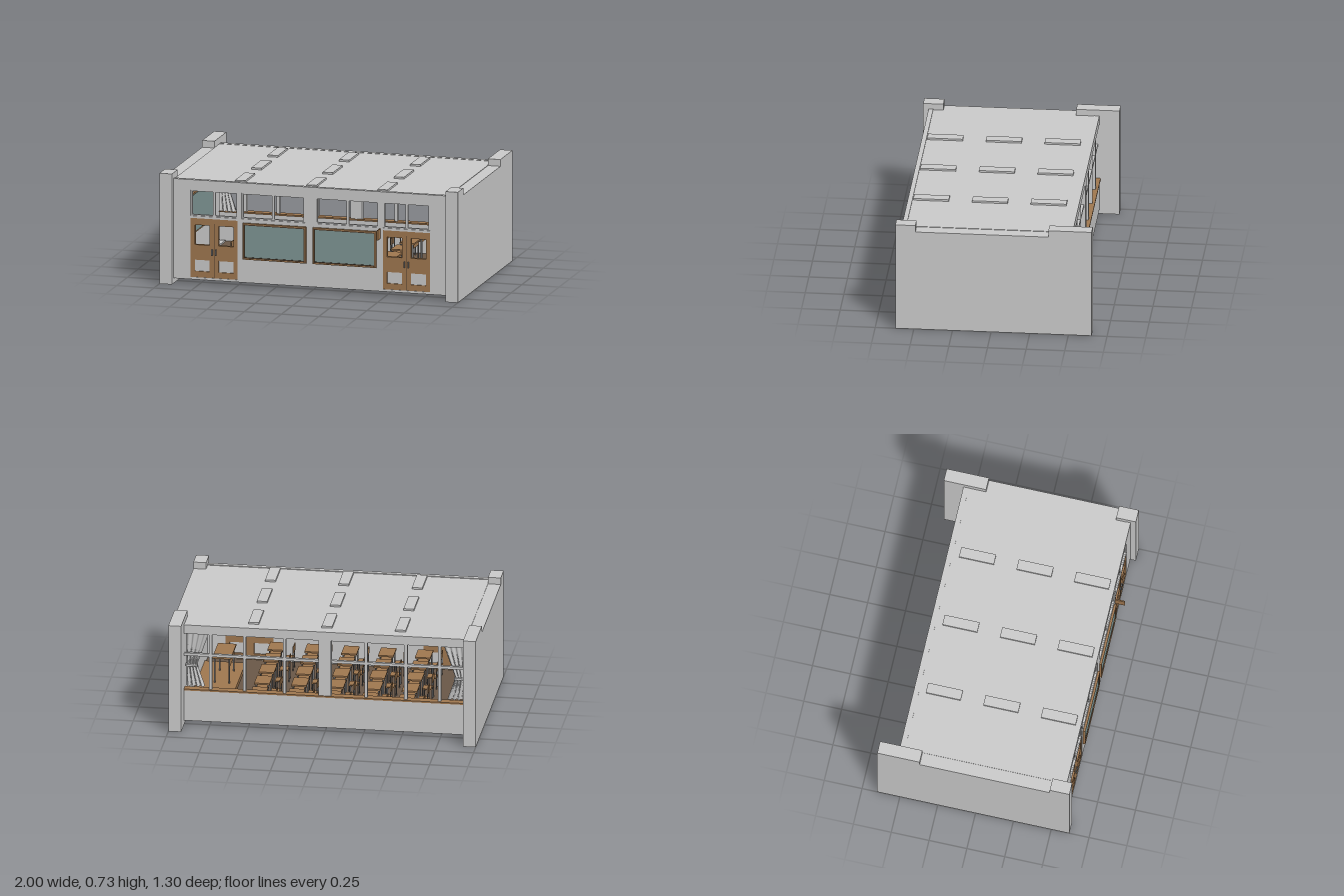
import * as THREE from 'three';

const mat = (color, side = THREE.FrontSide) => new THREE.MeshStandardMaterial({ color, side });
const GREY = mat(0xcccccc), WOOD = mat(0xa07850), DARK = mat(0x4a3a2c), BOARD = mat(0x7f9795),
  FLOOR = mat(0x6a5848), METAL = mat(0x777777), CLOTH = mat(0xcccccc, THREE.DoubleSide);

// box given by its limits on each axis
function box(parent, name, m, x0, x1, y0, y1, z0, z1) {
  const mesh = new THREE.Mesh(new THREE.BoxGeometry(x1 - x0, y1 - y0, z1 - z0), m);
  mesh.position.set((x0 + x1) / 2, (y0 + y1) / 2, (z0 + z1) / 2);
  mesh.name = name;
  parent.add(mesh);
  return mesh;
}

// flat panel in the xy plane with rectangular holes [x0, x1, y0, y1]
function panel(parent, name, m, [x0, x1, y0, y1], holes, z0, z1) {
  const trace = (p, [a, b, c, d]) => p.moveTo(a, c).lineTo(b, c).lineTo(b, d).lineTo(a, d).closePath();
  const shape = trace(new THREE.Shape(), [x0, x1, y0, y1]);
  for (const h of holes) shape.holes.push(trace(new THREE.Path(), h));
  const mesh = new THREE.Mesh(new THREE.ExtrudeGeometry(shape, { depth: z1 - z0, bevelEnabled: false }), m);
  mesh.position.z = z0;
  mesh.name = name;
  parent.add(mesh);
  return mesh;
}

function group(parent, name) {
  const g = new THREE.Group();
  g.name = name;
  parent.add(g);
  return g;
}

// end wall with raised front and back pillars
function endWall(parent, s) {
  const p = [[-0.62, 0], [0.65, 0], [0.65, 0.73], [0.37, 0.73], [0.37, 0.685], [-0.49, 0.685], [-0.49, 0.73], [-0.62, 0.73]];
  const shape = new THREE.Shape(p.map(([a, b]) => new THREE.Vector2(a, b)));
  const mesh = new THREE.Mesh(new THREE.ExtrudeGeometry(shape, { depth: 0.083, bevelEnabled: false }), GREY);
  mesh.rotation.y = Math.PI / 2;
  mesh.position.x = s > 0 ? 0.917 : -1;
  mesh.name = 'endWall';
  parent.add(mesh);
}

// double door centred on cx
function doubleDoor(parent, cx) {
  const g = group(parent, 'doubleDoor');
  g.position.x = cx;
  const holes = [];
  for (const s of [-1, 1]) {
    const a = s > 0 ? 0.03 : -0.13;
    holes.push([a, a + 0.1, 0.265, 0.395], [a, a + 0.1, 0.09, 0.165]);
    box(g, 'doorVent', GREY, a, a + 0.1, 0.09, 0.165, 0.566, 0.574);
    box(g, 'doorHandle', METAL, s * 0.013 - 0.004, s * 0.013 + 0.004, 0.2, 0.24, 0.582, 0.592);
  }
  panel(g, 'doorLeaves', WOOD, [-0.157, 0.157, 0.05, 0.44], holes, 0.558, 0.582);
  box(g, 'doorSeam', DARK, -0.0015, 0.0015, 0.05, 0.41, 0.575, 0.583);
}

// student desk facing +x, with its chair behind
function deskAndChair(parent, x, z) {
  const g = group(parent, 'studentDesk');
  g.position.set(x, 0, z);
  box(g, 'deskTop', WOOD, -0.05, 0.05, 0.193, 0.203, -0.07, 0.07);
  box(g, 'deskShelf', WOOD, -0.04, 0.04, 0.165, 0.17, -0.06, 0.06);
  box(g, 'deskFront', WOOD, 0.036, 0.042, 0.165, 0.193, -0.06, 0.06);
  box(g, 'chairSeat', WOOD, -0.115, -0.05, 0.125, 0.132, -0.035, 0.035);
  box(g, 'chairBack', WOOD, -0.118, -0.112, 0.175, 0.22, -0.035, 0.035);
  for (const s of [-1, 1]) {
    for (const lx of [-0.04, 0.038])
      box(g, 'deskLeg', METAL, lx - 0.004, lx + 0.004, 0.037, 0.193, s * 0.06 - 0.004, s * 0.06 + 0.004);
    for (const [lx, top] of [[-0.112, 0.215], [-0.055, 0.125]])
      box(g, 'chairLeg', METAL, lx - 0.003, lx + 0.003, 0.037, top, s * 0.03 - 0.003, s * 0.03 + 0.003);
  }
}

// pleated curtain gathered at its middle by a tie
function curtain(parent, s) {
  const geo = new THREE.PlaneGeometry(1, 1, 16, 10), p = geo.attributes.position;
  for (let i = 0; i < p.count; i++) {
    const u = p.getX(i) + 0.5, v = p.getY(i) + 0.5;
    const width = 0.07 + 0.08 * Math.min(1, Math.abs(v - 0.38) / 0.6);
    p.setXYZ(i, s * (0.91 - u * width), 0.25 + v * 0.385, -0.465 + 0.012 * Math.cos(u * 8 * Math.PI));
  }
  geo.computeVertexNormals();
  const mesh = new THREE.Mesh(geo, CLOTH);
  mesh.name = 'curtain';
  parent.add(mesh);
  const [a, b] = [s * 0.913, s * 0.835].sort((m, n) => m - n);
  box(parent, 'curtainTie', CLOTH, a, b, 0.39, 0.402, -0.482, -0.448);
}

export function createModel() {
  const root = new THREE.Group();
  root.name = 'classroom';

  // shell
  for (const s of [-1, 1]) endWall(root, s);
  box(root, 'floor', FLOOR, -0.917, 0.917, 0.043, 0.05, -0.5, 0.56);
  box(root, 'roof', GREY, -0.917, 0.917, 0.65, 0.688, -0.52, 0.56);
  box(root, 'floorEdgeStrip', GREY, -0.917, -0.87, 0.035, 0.06, -0.46, 0.55);
  for (const x of [-0.48, -0.002, 0.475])
    for (const z of [-0.325, 0.055, 0.435]) {
      box(root, 'roofLightHousing', GREY, x - 0.034, x + 0.034, 0.68, 0.7, z - 0.115, z + 0.115);
      box(root, 'ceilingLight', GREY, x - 0.03, x + 0.03, 0.64, 0.651, z - 0.105, z + 0.105);
    }

  // corridor wall with door and window openings
  const openings = [[-0.46, -0.035, 0.455, 0.625], [0.035, 0.46, 0.455, 0.625]];
  for (const [a, b] of [[-0.802, -0.487], [0.487, 0.802]]) openings.push([a, b, 0.455, 0.625], [a, b, 0.05, 0.44]);
  panel(root, 'frontWall', GREY, [-0.917, 0.917, 0.035, 0.693], openings, 0.555, 0.585);
  for (const s of [-1, 1]) {
    doubleDoor(root, s * 0.6445);
    for (const x of [0.25, 0.645])
      box(root, 'frontMullion', GREY, s * x - 0.008, s * x + 0.008, 0.455, 0.625, 0.562, 0.578);
  }
  for (const [a, b] of [[-0.802, -0.487], [-0.46, -0.035], [0.035, 0.46], [0.487, 0.802]])
    panel(root, 'frontWindowFrame', GREY, [a, b, 0.455, 0.625], [[a + 0.01, b - 0.01, 0.463, 0.617]], 0.562, 0.578);

  // notice boards and door sign
  for (const x of [-0.45, 0.02]) {
    panel(root, 'noticeBoardFrame', WOOD, [x, x + 0.425, 0.19, 0.43], [[x + 0.008, x + 0.417, 0.198, 0.422]], 0.585, 0.6);
    panel(root, 'noticeBoardTrim', DARK, [x + 0.008, x + 0.417, 0.198, 0.422], [[x + 0.015, x + 0.41, 0.205, 0.415]], 0.585, 0.596);
    box(root, 'noticeBoard', BOARD, x + 0.008, x + 0.417, 0.198, 0.422, 0.58, 0.592);
  }
  box(root, 'doorSign', WOOD, 0.465, 0.473, 0.385, 0.45, 0.585, 0.65);

  // window wall
  box(root, 'backWall', GREY, -0.917, 0.917, 0.03, 0.24, -0.52, -0.485);
  box(root, 'windowSill', WOOD, -0.917, 0.917, 0.24, 0.25, -0.528, -0.475);
  box(root, 'backBeam', GREY, -0.917, 0.917, 0.63, 0.69, -0.52, -0.485);
  box(root, 'transom', GREY, -0.917, 0.917, 0.474, 0.492, -0.51, -0.49);
  box(root, 'backColumn', GREY, -0.04, 0.04, 0.25, 0.63, -0.52, -0.485);
  for (const s of [-1, 1]) {
    for (const x of [0.265, 0.525, 0.745])
      box(root, 'backMullion', GREY, s * x - 0.01, s * x + 0.01, 0.25, 0.63, -0.512, -0.488);
    curtain(root, s);
  }

  // boards on the end walls
  box(root, 'wallBoardFrame', WOOD, 0.903, 0.918, 0.235, 0.505, -0.36, 0.42);
  box(root, 'wallBoard', BOARD, 0.9, 0.91, 0.245, 0.495, -0.35, 0.41);
  box(root, 'rearBoardFrame', WOOD, -0.918, -0.903, 0.235, 0.505, -0.36, 0.42);
  box(root, 'rearBoard', BOARD, -0.91, -0.9, 0.245, 0.495, -0.35, 0.41);

  // teaching platform and desk
  box(root, 'platform', WOOD, 0.65, 0.916, 0.04, 0.08, -0.36, 0.42);
  const desk = group(root, 'teacherDesk');
  box(desk, 'teacherDeskTop', WOOD, 0.69, 0.81, 0.25, 0.262, 0.03, 0.28);
  box(desk, 'teacherDeskFront', WOOD, 0.7, 0.708, 0.19, 0.25, 0.045, 0.265);
  for (const x of [0.7, 0.792])
    for (const z of [0.042, 0.26]) box(desk, 'teacherDeskLeg', METAL, x, x + 0.009, 0.08, 0.25, z, z + 0.009);

  // student desks
  for (let i = 0; i < 5; i++)
    for (let j = 0; j < 5; j++) deskAndChair(root, 0.45 - i * 0.24, -0.37 + j * 0.2);

  return root;
}
